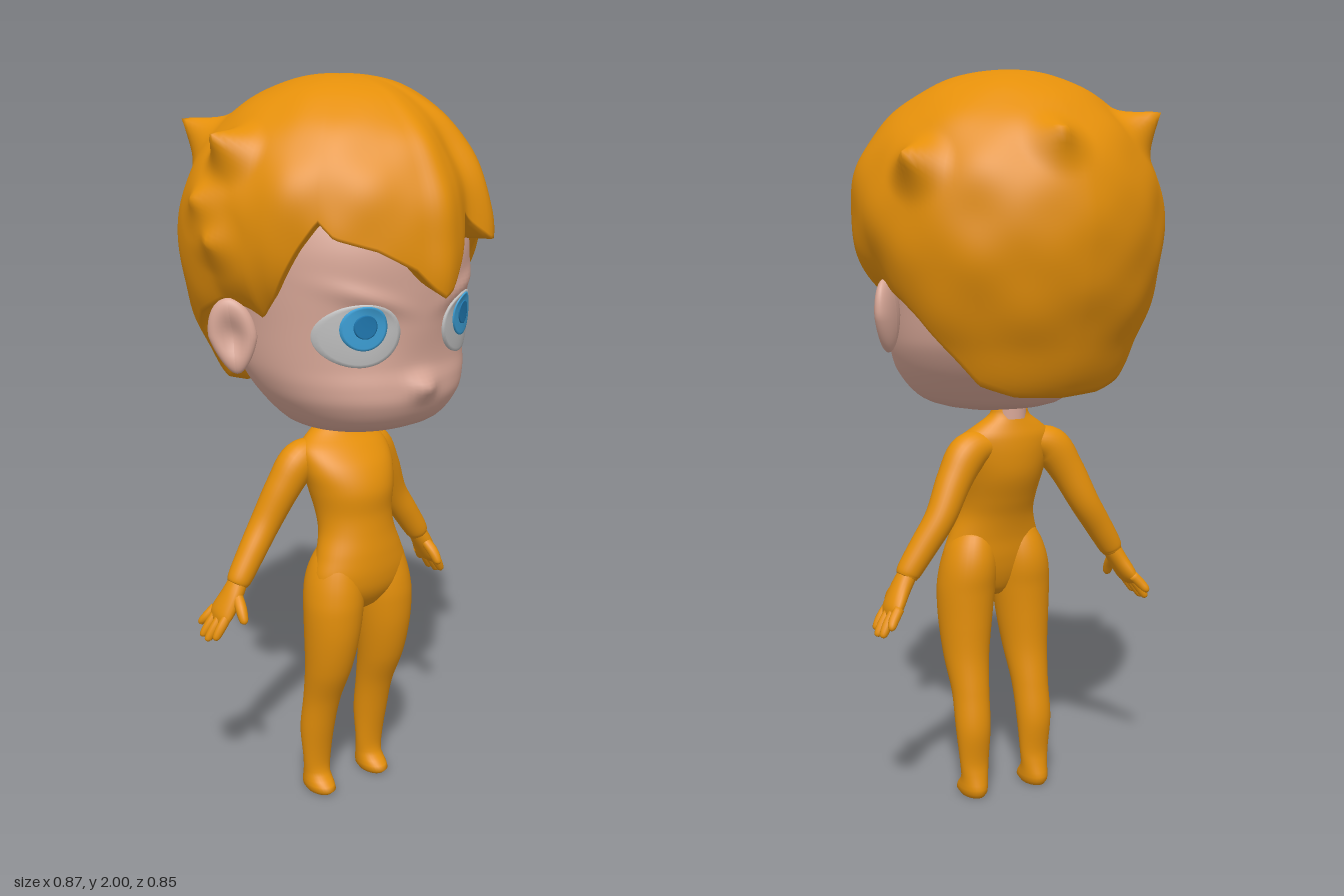
import * as THREE from 'three';

const mat = (name, color) => Object.assign(new THREE.MeshStandardMaterial({ color }), { name });
const amber = mat('amber', 0xe48f0a);
const skin = mat('skin', 0xd8a797);
const eyeWhite = mat('eyeWhite', 0xbfbfbf);
const blue = mat('irisBlue', 0x3c9fd6);
const darkBlue = mat('pupilBlue', 0x1f78b0);
const RAD = Math.PI / 180;

// Smooth (or straight) lookup in a table whose first column is an ascending key
function lookup(table, x, straight = false) {
  const last = table.length - 1;
  x = Math.min(Math.max(x, table[0][0]), table[last][0]);
  let i = 0;
  while (i < last - 1 && x > table[i + 1][0]) i++;
  const a = table[i], b = table[i + 1], h = b[0] - a[0], t = (x - a[0]) / h;
  const p = table[Math.max(i - 1, 0)], q = table[Math.min(i + 2, last)];
  return a.slice(1).map((v, k) => {
    k++;
    if (straight) return v + (b[k] - v) * t;
    const m0 = h * (b[k] - p[k]) / (b[0] - p[0]), m1 = h * (q[k] - v) / (q[0] - a[0]);
    const t2 = t * t, t3 = t2 * t;
    return (2 * t3 - 3 * t2 + 1) * v + (t3 - 2 * t2 + t) * m0 + (3 * t2 - 2 * t3) * b[k] + (t3 - t2) * m1;
  });
}

// Skin a list of equal closed rings
function skinRings(name, rings, material) {
  const n = rings[0].length, index = [];
  for (let i = 0; i < rings.length - 1; i++) {
    for (let j = 0; j < n; j++) {
      const k = (j + 1) % n;
      const a = i * n + j, b = a + n, c = (i + 1) * n + k, d = i * n + k;
      index.push(a, b, c, a, c, d);
    }
  }
  const g = new THREE.BufferGeometry();
  g.setAttribute('position', new THREE.Float32BufferAttribute(rings.flat(2), 3));
  g.setIndex(index);
  g.computeVertexNormals();
  const mesh = new THREE.Mesh(g, material);
  mesh.name = name;
  return mesh;
}

const ring = (n, f) => Array.from({ length: n }, (_, j) => f(j / n * Math.PI * 2));

// Upright form: table rows are [y, centre x, half width, front z, back z]
function upright(name, table, material, side = 1, steps = 40, n = 32) {
  const y0 = table[0][0], y1 = table[table.length - 1][0], rings = [];
  for (let i = -1; i <= steps + 1; i++) {
    const y = y1 + (y0 - y1) * Math.min(Math.max(i / steps, 0), 1);
    const [cx, w, f, b] = lookup(table, y), s = i < 0 || i > steps ? 0.001 : 1;
    rings.push(ring(n, a => [side * cx + s * w * Math.sin(a), y, (f + b) / 2 + s * (f - b) / 2 * Math.cos(a)]));
  }
  return skinRings(name, rings, material);
}

// Limb along a path: rows are [x, y, z, thickness radius, depth radius]
function limb(name, rows, material, side, n = 20, sub = 6) {
  const table = rows.map((r, i) => [i, ...r]), steps = (rows.length - 1) * sub, rings = [];
  const at = i => lookup(table, Math.min(Math.max(i, 0), steps) / sub);
  for (let i = -1; i <= steps + 1; i++) {
    const [x, y, z, ru, rv] = at(i), A = at(Math.max(i, 1) - 1), B = at(Math.min(i, steps - 1) + 1);
    const t = new THREE.Vector3(side * (B[0] - A[0]), B[1] - A[1], B[2] - A[2]).normalize();
    const u = new THREE.Vector3(0, 0, 1).cross(t).normalize(), v = t.clone().cross(u);
    const s = i < 0 || i > steps ? 0.001 : 1;
    rings.push(ring(n, a => new THREE.Vector3(side * x, y, z)
      .addScaledVector(u, s * ru * Math.sin(a)).addScaledVector(v, s * rv * Math.cos(a)).toArray()));
  }
  return skinRings(name, rings, material);
}

// Head sections: [y, half width, front z, back z]
const HEAD = [[1.1, 0.09, 0.17, -0.01], [1.115, 0.165, 0.235, -0.09], [1.14, 0.21, 0.29, -0.13], [1.2, 0.262, 0.33, -0.19],
  [1.25, 0.288, 0.332, -0.23], [1.3, 0.302, 0.324, -0.26], [1.4, 0.31, 0.335, -0.3], [1.5, 0.316, 0.342, -0.33],
  [1.6, 0.315, 0.338, -0.34], [1.7, 0.29, 0.3, -0.32], [1.8, 0.23, 0.23, -0.25], [1.88, 0.08, 0.08, -0.08]];
const POW = 2.2;
const bump = (d, w) => Math.exp(-d * d / (w * w));

// Nose, slanted brow and eye socket relief
function relief(x, y) {
  const ax = Math.abs(x);
  return 0.03 * bump(x, 0.04) * bump(y - 1.245, 0.03)
    + 0.013 * bump(ax - 0.16, 0.09) * bump(y - 1.43 - 0.32 * ax, 0.025)
    - 0.016 * bump(ax - 0.15, 0.08) * bump(y - 1.4, 0.08);
}
function faceZ(x, y) {
  const [w, f, b] = lookup(HEAD, y), c = (f + b) / 2;
  return c + (f - c) * Math.pow(Math.max(0, 1 - Math.pow(Math.abs(x) / w, POW)), 1 / POW) + relief(x, y);
}
function makeHead() {
  const rings = [];
  for (let i = -1; i <= 81; i++) {
    const y = 1.88 - 0.78 * Math.min(Math.max(i / 80, 0), 1), s = i < 0 || i > 80 ? 0.001 : 1;
    const [w, f, b] = lookup(HEAD, y), c = (f + b) / 2;
    rings.push(ring(96, a => {
      const sx = Math.sin(a), cz = Math.cos(a), e = cz > 0 ? POW : 2;
      const k = s / Math.pow(Math.abs(sx) ** e + Math.abs(cz) ** e, 1 / e), x = w * k * sx;
      return [x, y, c + (f - c) * k * cz + (cz > 0 ? s * relief(x, y) : 0)];
    }));
  }
  return skinRings('head', rings, skin);
}

// Eye layers hug the face, bulge slightly and tuck in at the rim
function eyeLayer(name, side, cx, cy, rx, ry, lift, material) {
  const rings = [];
  for (let k = 0; k <= 11; k++) {
    const p = Math.min(Math.max(k / 10, 0.001), 1);
    rings.push(ring(40, a => {
      const x = side * cx + rx * p * Math.cos(a), y = cy + ry * p * Math.sin(a);
      const d = ((Math.abs(x) - 0.165) / 0.093) ** 2 + ((y - 1.388) / 0.08) ** 2;
      return [x, y, faceZ(x, y) + (k > 10 ? -0.004 : lift) + 0.01 * Math.max(0, 1 - d)];
    }));
  }
  return skinRings(name, rings, material);
}

// Dished ear flaring towards the back
function makeEar(side) {
  const g = new THREE.SphereGeometry(1, 32, 24), p = g.attributes.position;
  for (let i = 0; i < p.count; i++) {
    let x = p.getX(i), y = p.getY(i), z = p.getZ(i);
    if (x * side > 0) x *= 1 - 1.2 * Math.exp(-(y * y + z * z) / 0.3);
    const taper = y < 0 ? 1 + 0.35 * y : 1;
    p.setXYZ(i, x * 0.028, y * 0.097, z * 0.063 * taper - y * 0.01);
  }
  g.rotateY(-side * 0.8);
  g.translate(side * 0.352, 1.367, 0.008);
  g.computeVertexNormals();
  const ear = new THREE.Mesh(g, skin);
  ear.name = side > 0 ? 'leftEar' : 'rightEar';
  return ear;
}

// Hair: radius by elevation, radius by azimuth, and lower edge by azimuth (0 is front, 90 is +x)
const ELEV = [[-70, 0.53], [-57, 0.52], [-40, 0.46], [-20, 0.43], [0, 0.42], [20, 0.42], [45, 0.412], [90, 0.4]];
const AZIM = [[-180, 0.43], [-135, 0.415], [-105, 0.43], [-90, 0.42], [-75, 0.4], [-60, 0.4], [-42, 0.385], [-20, 0.388],
  [-8, 0.402], [0, 0.422], [8, 0.405], [21, 0.372], [31, 0.41], [50, 0.387], [78, 0.437], [100, 0.438], [118, 0.43], [150, 0.425], [180, 0.43]];
const EDGE = [[-180, 1.16], [-155, 1.17], [-138, 1.2], [-125, 1.29], [-115, 1.37], [-108, 1.41], [-93, 1.46], [-82, 1.44], [-75, 1.42],
  [-66, 1.48], [-55, 1.6], [-47, 1.67], [-41, 1.63], [-25, 1.6], [-11, 1.55], [-4, 1.5], [0, 1.48], [4, 1.5], [10, 1.57], [18, 1.67], [22, 1.65],
  [30, 1.6], [45, 1.6], [58, 1.6], [68, 1.52], [75, 1.42], [82, 1.44], [93, 1.46], [108, 1.41], [115, 1.37], [125, 1.29], [138, 1.2], [155, 1.17], [180, 1.16]];
const SPIKES = [[0.42, 1.77, -0.23], [0.07, 1.83, -0.42], [-0.42, 1.87, 0.02], [-0.31, 1.89, -0.27], [-0.44, 1.71, -0.04], [-0.435, 1.61, 0.01]]
  .map(s => new THREE.Vector3(s[0], s[1] - 1.6, s[2]));

function makeHair() {
  const N = 200, ROWS = 70, columns = [];
  for (let j = 0; j < N; j++) {
    const az = j / N * 360 > 180 ? j / N * 360 - 360 : j / N * 360;
    const [ra] = lookup(AZIM, az), [yEdge] = lookup(EDGE, az, true);
    const dir = e => new THREE.Vector3(Math.sin(az * RAD) * Math.cos(e), Math.sin(e), Math.cos(az * RAD) * Math.cos(e));
    const radius = e => lookup(ELEV, e / RAD)[0] * (1 + (ra / 0.42 - 1) * Math.pow(Math.max(0, Math.cos(e)), 3));
    // side locks hug the cheeks
    const hug = 0.15 * bump(Math.abs(az) - 80, 25);
    let low = 0;
    for (let k = 0; k < 12; k++) low = Math.asin(Math.max(-0.95, (yEdge - 1.6) / (radius(low) * (1 - hug))));
    const column = [];
    for (let i = 0; i <= ROWS; i++) {
      const e = Math.PI / 2 - 0.001 + (low - Math.PI / 2) * i / ROWS, d = dir(e);
      let r = radius(e) * (1 - hug * (i / ROWS) ** 6);
      // gentle lumps
      r += 0.005 * Math.cos(e) * Math.sin(9 * d.x + 2) * Math.sin(11 * d.y + 1) * Math.sin(10 * d.z);
      for (const s of SPIKES) {
        r += Math.max(0, s.length() - r) * Math.max(0, 1 - d.angleTo(s) / 0.24) ** 2;
      }
      column.push(d.multiplyScalar(r));
    }
    // turn the lower edge inwards
    const rim = column[ROWS];
    column.push(rim.clone().multiplyScalar(0.96), rim.clone().multiplyScalar(0.82));
    columns.push(column);
  }
  const rings = columns[0].map((_, i) => columns.map(c => [c[i].x, c[i].y + 1.6, c[i].z]));
  return skinRings('hair', rings, amber);
}

const TORSO = [[0.565, 0, 0.02, 0.1, 0.06], [0.585, 0, 0.06, 0.13, 0.04], [0.63, 0, 0.135, 0.16, 0.02], [0.68, 0, 0.152, 0.17, 0.008],
  [0.74, 0, 0.134, 0.168, 0], [0.8, 0, 0.114, 0.16, -0.015], [0.85, 0, 0.112, 0.155, -0.035], [0.92, 0, 0.125, 0.155, -0.062],
  [0.98, 0, 0.138, 0.13, -0.07], [1.03, 0, 0.135, 0.085, -0.068], [1.06, 0, 0.1, 0.05, -0.06], [1.09, 0, 0.058, 0.03, -0.052], [1.11, 0, 0.052, 0.025, -0.05]];
const LEG = [[0.003, 0.098, 0.03, 0.075, -0.02], [0.014, 0.098, 0.038, 0.088, -0.029], [0.03, 0.098, 0.039, 0.08, -0.03],
  [0.055, 0.097, 0.038, 0.055, -0.023], [0.1, 0.097, 0.042, 0.05, -0.016], [0.2, 0.098, 0.05, 0.067, -0.025], [0.3, 0.096, 0.053, 0.093, -0.013],
  [0.4, 0.095, 0.064, 0.135, 0], [0.5, 0.092, 0.075, 0.16, 0], [0.59, 0.088, 0.082, 0.168, -0.004], [0.64, 0.084, 0.081, 0.165, -0.009],
  [0.68, 0.08, 0.076, 0.158, -0.007], [0.72, 0.075, 0.066, 0.148, 0.003], [0.76, 0.068, 0.05, 0.135, 0.02]];
const ARM = [[0.05, 1.015, -0.01, 0.03, 0.04], [0.125, 0.993, -0.015, 0.054, 0.05], [0.175, 0.925, -0.025, 0.049, 0.047], [0.225, 0.83, -0.04, 0.042, 0.042],
  [0.275, 0.755, -0.038, 0.038, 0.038], [0.315, 0.695, -0.035, 0.034, 0.034], [0.325, 0.677, -0.035, 0.029, 0.029]];
const PALM = [[0.318, 0.69, -0.035, 0.026, 0.027], [0.345, 0.645, -0.037, 0.025, 0.037], [0.37, 0.602, -0.046, 0.022, 0.044], [0.383, 0.58, -0.05, 0.012, 0.037]];
// Fingers: [base z, tip x, tip y, tip z]
const FINGERS = [[-0.017, 0.41, 0.54, -0.02], [-0.04, 0.417, 0.53, -0.048], [-0.063, 0.414, 0.533, -0.076], [-0.082, 0.402, 0.557, -0.102]];

function addLimbs(group, side) {
  const tag = side > 0 ? 'left' : 'right';
  group.add(upright(tag + 'Leg', LEG, amber, side, 60), limb(tag + 'Arm', ARM, amber, side, 28), limb(tag + 'Palm', PALM, amber, side));
  FINGERS.forEach(([bz, x, y, z]) => group.add(limb(tag + 'Finger', [[0.368, 0.605, bz, 0.014, 0.012],
    [(0.368 + x) / 2 + 0.003, (0.605 + y) / 2, (bz + z) / 2, 0.014, 0.013], [x - 0.003, y + 0.008, z, 0.011, 0.01], [x, y, z, 0.005, 0.005]], amber, side, 12, 4)));
  group.add(limb(tag + 'Thumb', [[0.338, 0.655, -0.02, 0.015, 0.014], [0.346, 0.625, 0.01, 0.016, 0.015],
    [0.35, 0.597, 0.028, 0.012, 0.012], [0.35, 0.588, 0.031, 0.005, 0.005]], amber, side, 12, 4));
}

export function createModel() {
  const model = new THREE.Group();
  model.name = 'figure';
  const body = new THREE.Group(), head = new THREE.Group();
  body.name = 'body';
  head.name = 'headGroup';
  body.add(upright('torso', TORSO, amber, 1, 60, 48));
  const neck = new THREE.Mesh(new THREE.CylinderGeometry(0.045, 0.045, 0.08, 28), skin);
  neck.name = 'neck';
  neck.position.set(0, 1.12, -0.014);
  head.add(neck, makeHead(), makeHair());
  for (const side of [1, -1]) {
    addLimbs(body, side);
    head.add(makeEar(side),
      eyeLayer('eyeWhite', side, 0.165, 1.388, 0.093, 0.08, 0.006, eyeWhite),
      eyeLayer('iris', side, 0.163, 1.408, 0.052, 0.056, 0.01, blue),
      eyeLayer('pupil', side, 0.163, 1.412, 0.026, 0.03, 0.013, darkBlue));
  }
  model.add(body, head);
  return model;
}
